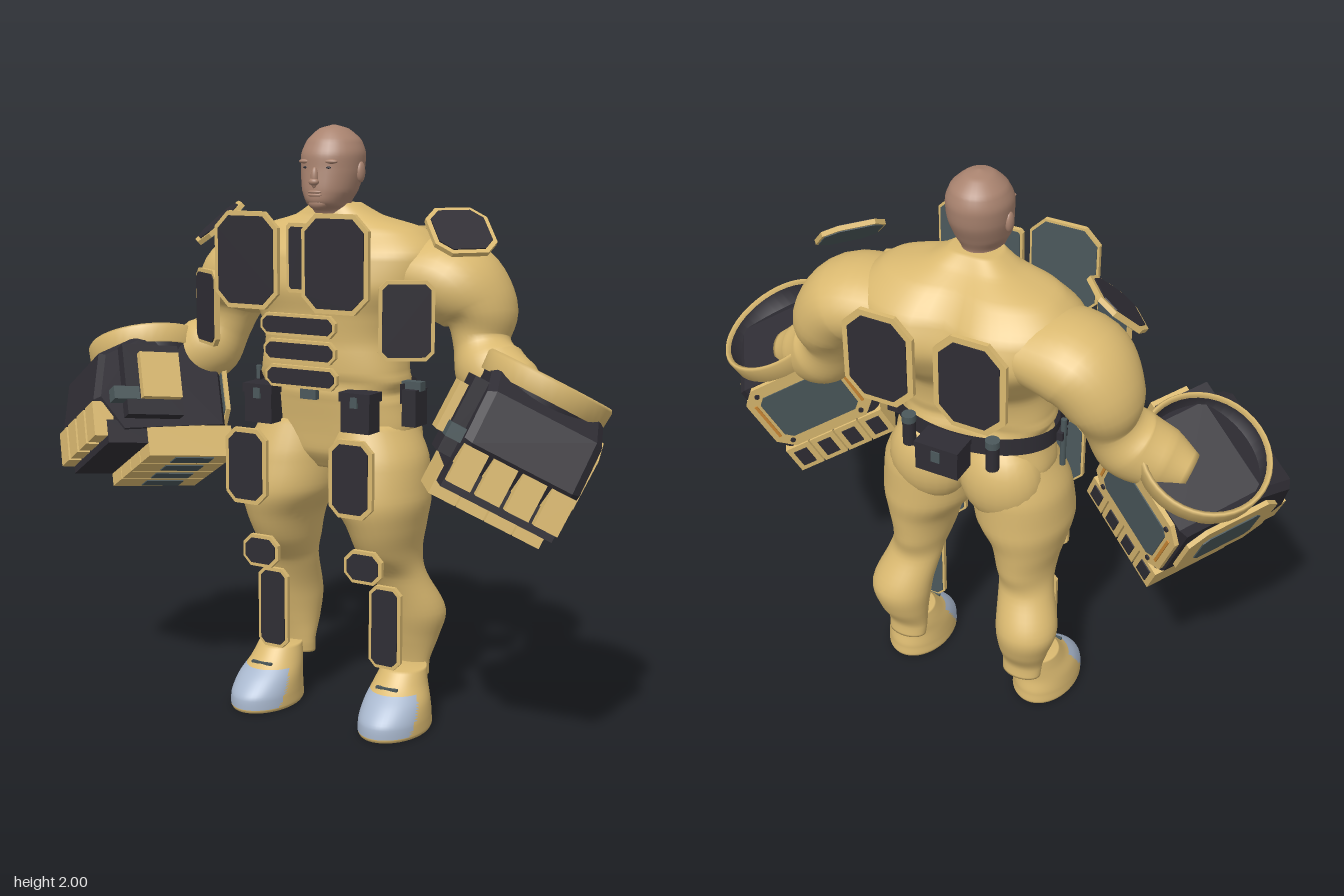
import * as THREE from 'three';

const mat = (name, color, side = THREE.FrontSide) => {
  const m = new THREE.MeshStandardMaterial({ color, side });
  m.name = name;
  return m;
};
const tan = mat('tan suit', 0xdab970);
const dark = mat('dark armour', 0x2f2d34, THREE.DoubleSide);
const slate = mat('slate', 0x4b585b);
const skin = mat('skin', 0xa9836f);
const steel = mat('toe blue', 0xa9b8ce);
const orange = mat('orange accent', 0xcf8a35);

function add(parent, name, geo, material, x = 0, y = 0, z = 0) {
  const m = new THREE.Mesh(geo, material);
  m.name = name;
  m.position.set(x, y, z);
  parent.add(m);
  return m;
}
const box = (w, h, d) => new THREE.BoxGeometry(w, h, d);
function ball(parent, name, material, x, y, z, rx, ry, rz) {
  add(parent, name, new THREE.SphereGeometry(1, 24, 16).scale(rx, ry, rz), material, x, y, z);
}

// Smooth skin through sections [x, y, z, radiusA, radiusB], listed from the top down.
function loft(secs, { along = false, groove = 0, power = 1, steps = 6, seg = 32 } = {}) {
  const centre = new THREE.CatmullRomCurve3(secs.map(s => new THREE.Vector3(s[0], s[1], s[2])));
  const radius = new THREE.CatmullRomCurve3(secs.map(s => new THREE.Vector3(s[3], s[4], 0)));
  const rows = (secs.length - 1) * steps, pos = [], idx = [];
  const A = new THREE.Vector3(1, 0, 0), B = new THREE.Vector3(0, 0, 1);
  const bulge = v => Math.sign(v) * Math.abs(v) ** power;
  for (let r = 0; r <= rows; r++) {
    const c = centre.getPoint(r / rows), k = radius.getPoint(r / rows);
    if (along) {
      const t = centre.getTangent(r / rows);
      B.set(0, 0, 1).addScaledVector(t, -t.z).normalize();
      A.crossVectors(B, t).normalize();
    }
    for (let j = 0; j < seg; j++) {
      const a = j / seg * Math.PI * 2, ca = bulge(Math.cos(a)) * k.x;
      let sb = bulge(Math.sin(a)) * k.y;
      if (sb < 0) sb *= 1 - groove * Math.exp(-((ca / 0.08) ** 2));
      const p = c.clone().addScaledVector(A, ca).addScaledVector(B, sb);
      pos.push(p.x, p.y, p.z);
    }
  }
  for (let r = 0; r < rows; r++) for (let j = 0; j < seg; j++) {
    const a = r * seg + j, b = r * seg + (j + 1) % seg;
    idx.push(a, b, a + seg, b, b + seg, a + seg);
  }
  const top = pos.length / 3, last = rows * seg;
  pos.push(...secs[0].slice(0, 3), ...secs[secs.length - 1].slice(0, 3));
  for (let j = 0; j < seg; j++) {
    const n = (j + 1) % seg;
    idx.push(top, n, j, top + 1, last + j, last + n);
  }
  const g = new THREE.BufferGeometry();
  g.setAttribute('position', new THREE.Float32BufferAttribute(pos, 3));
  g.setIndex(idx);
  g.computeVertexNormals();
  return g;
}

// Sort triangles into two material groups by a test on their centre.
function splitFaces(g, test) {
  const p = g.attributes.position, src = g.index.array, lists = [[], []];
  for (let i = 0; i < src.length; i += 3) {
    const t = [src[i], src[i + 1], src[i + 2]];
    const mid = f => (p[f](t[0]) + p[f](t[1]) + p[f](t[2])) / 3;
    lists[test(mid('getY'), mid('getZ')) ? 1 : 0].push(...t);
  }
  g.setIndex([...lists[0], ...lists[1]]);
  g.addGroup(0, lists[0].length, 0);
  g.addGroup(lists[0].length, lists[1].length, 1);
  return g;
}

// Chamfered plate, facing +z.
function plate(w, h, c, d) {
  const x = w / 2, y = h / 2;
  const pts = [[x - c, -y], [x, c - y], [x, y - c], [x - c, y], [c - x, y], [-x, y - c], [-x, c - y], [c - x, -y]];
  const shape = new THREE.Shape(pts.map(p => new THREE.Vector2(...p)));
  return new THREE.ExtrudeGeometry(shape, { depth: d, bevelEnabled: false }).translate(0, 0, -d / 2);
}
function panel(parent, name, w, h, c, x, y, z, inset = dark, border = 0.015) {
  const g = new THREE.Group();
  g.name = name;
  const ring = b => [w - 2 * b, h - 2 * b, Math.max(c - 0.59 * b, 0.008)];
  add(g, name + 'Frame', plate(w, h, c, 0.016), tan);
  add(g, name + 'Inset', plate(...ring(border), 0.008), inset, 0, 0, 0.008);
  add(g, name + 'Backing', plate(...ring(0.008), 0.008), slate, 0, 0, -0.007);
  g.position.set(x, y, z);
  parent.add(g);
  return g;
}

// Oversized fist: local x outward, y towards the cuff, z knuckle side.
function gauntlet() {
  const g = new THREE.Group();
  g.name = 'gauntlet';
  const prof = [[-0.17, -0.07], [0.11, -0.05], [0.235, -0.11], [0.265, -0.26], [0.19, -0.37], [-0.17, -0.35]];
  const hull = new THREE.ExtrudeGeometry(new THREE.Shape(prof.map(p => new THREE.Vector2(...p))),
    { depth: 0.33, bevelThickness: 0.025, bevelSize: 0.018, bevelSegments: 1 });
  add(g, 'fistHull', hull.translate(0, 0, -0.165).rotateY(-Math.PI / 2), dark);
  const lathe = pts => new THREE.LatheGeometry(pts.map(p => new THREE.Vector2(...p)), 40);
  add(g, 'cuff', lathe([[0.17, -0.2], [0.202, -0.03], [0.193, 0], [0.175, -0.13], [0, -0.15]]), dark);
  add(g, 'cuffRim', lathe([[0.19, -0.055], [0.208, -0.055], [0.212, 0.003], [0.206, 0.012], [0.194, 0.005], [0.19, -0.055]]), tan);
  add(g, 'knuckleBase', box(0.37, 0.08, 0.16), dark, 0, -0.38, 0.17);
  for (let i = 0; i < 4; i++) {
    const x = -0.144 + i * 0.096;
    add(g, 'knuckle', box(0.078, 0.12, 0.07), tan, x, -0.335, 0.26);
    add(g, 'finger', box(0.09, 0.11, 0.31), tan, x, -0.41, -0.045);
    add(g, 'fingerInset', box(0.058, 0.006, 0.14), slate, x, -0.466, -0.06);
    add(g, 'fingerEnd', box(0.05, 0.07, 0.006), dark, x, -0.41, -0.201);
  }
  panel(g, 'sidePanel', 0.34, 0.27, 0.055, 0.2, -0.225, 0.02, slate, 0.06).rotation.y = Math.PI / 2;
  const back = panel(g, 'backPanel', 0.38, 0.29, 0.05, 0, -0.2, -0.198, slate, 0.045);
  back.rotation.y = Math.PI;
  for (const s of [1, -1]) {
    add(back, 'accentStrip', box(0.01, 0.16, 0.006), orange, s * 0.163, 0, 0.009);
    for (const t of [1, -1]) add(back, 'bolt', new THREE.CylinderGeometry(0.009, 0.009, 0.008, 10).rotateX(Math.PI / 2), dark, s * 0.135, t * 0.115, 0.01);
  }
  // thumb
  add(g, 'thumbBase', box(0.06, 0.25, 0.2), dark, -0.205, -0.21, 0.09);
  add(g, 'thumb', box(0.035, 0.16, 0.14), tan, -0.245, -0.2, 0.07);
  add(g, 'thumbJoint', box(0.05, 0.045, 0.09), slate, -0.215, -0.26, 0.19);
  const n = new THREE.Vector3(0.34, 0.88, -0.32).normalize();
  const f = new THREE.Vector3(0.53, 0.1, 0.85);
  const u = new THREE.Vector3().crossVectors(n, f).normalize();
  f.crossVectors(u, n);
  g.applyMatrix4(new THREE.Matrix4().makeBasis(u, n, f).setPosition(0.775, 1.22, -0.03));
  return g;
}

// Everything that exists once per side, built for the model's left.
function sideParts() {
  const g = new THREE.Group();
  add(g, 'leg', loft([[0.14, 1.04, -0.06, 0.13, 0.15], [0.162, 0.92, -0.05, 0.165, 0.18], [0.175, 0.8, -0.04, 0.165, 0.19],
    [0.197, 0.7, -0.045, 0.125, 0.17], [0.2, 0.6, -0.065, 0.1, 0.14], [0.215, 0.51, -0.105, 0.095, 0.09],
    [0.245, 0.38, -0.16, 0.108, 0.1], [0.238, 0.28, -0.165, 0.09, 0.077], [0.23, 0.2, -0.155, 0.074, 0.048], [0.23, 0.15, -0.16, 0.07, 0.045]]), tan);
  const boot = loft([[0.25, 0.2, -0.08, 0.075, 0.078], [0.25, 0.15, -0.055, 0.09, 0.1], [0.255, 0.1, -0.022, 0.106, 0.13],
    [0.257, 0.05, -0.005, 0.112, 0.157], [0.257, 0.012, -0.005, 0.113, 0.16], [0.257, 0, -0.005, 0.108, 0.155]], { seg: 48 });
  add(g, 'boot', splitFaces(boot, (y, z) => z > 0.08 - 0.6 * y && y > 0.012 && y < 0.135), [tan, steel]);
  add(g, 'bootSeam', box(0.08, 0.008, 0.012), slate, 0.25, 0.15, 0.042);
  add(g, 'arm', loft([[0.22, 1.53, -0.12, 0.11, 0.17], [0.4, 1.5, -0.13, 0.138, 0.18], [0.48, 1.41, -0.14, 0.122, 0.145],
    [0.5, 1.31, -0.12, 0.09, 0.1], [0.55, 1.23, -0.09, 0.115, 0.115], [0.65, 1.18, -0.06, 0.1, 0.1], [0.74, 1.15, -0.05, 0.06, 0.06]], { along: true }), tan);
  ball(g, 'buttock', tan, 0.13, 0.97, -0.13, 0.145, 0.16, 0.115);
  g.add(gauntlet());

  // floating armour plates
  panel(g, 'chestPlate', 0.24, 0.31, 0.05, 0.165, 1.575, 0.235);
  panel(g, 'backPlate', 0.24, 0.32, 0.06, 0.155, 1.5, -0.388, dark, 0.02).rotation.y = Math.PI;
  panel(g, 'armPlate', 0.175, 0.25, 0.025, 0.375, 1.405, 0.16, dark, 0.012).rotation.y = 0.58;
  panel(g, 'shoulderPlate', 0.21, 0.2, 0.045, 0.46, 1.67, -0.035).lookAt(0.46 + 0.5, 1.67 + 0.75, -0.035 + 0.42);
  panel(g, 'thighPlate', 0.16, 0.255, 0.035, 0.2, 0.89, 0.195);
  panel(g, 'kneePlate', 0.14, 0.11, 0.03, 0.2, 0.58, 0.112, dark, 0.012);
  panel(g, 'shinPlate', 0.12, 0.285, 0.025, 0.222, 0.348, 0.003, dark, 0.012);

  // belt gear
  add(g, 'frontPouch', box(0.105, 0.11, 0.07), dark, 0.185, 1.085, 0.115);
  add(g, 'frontPouchFlap', box(0.115, 0.03, 0.08), dark, 0.185, 1.145, 0.115);
  add(g, 'pouchClasp', box(0.025, 0.035, 0.008), slate, 0.185, 1.13, 0.155);
  add(g, 'canister', new THREE.CylinderGeometry(0.022, 0.022, 0.1, 14), dark, 0.15, 1.13, -0.235);
  add(g, 'canisterCap', new THREE.CylinderGeometry(0.024, 0.024, 0.025, 14), slate, 0.15, 1.18, -0.235);
  // facial features
  ball(g, 'eye', dark, 0.04, 1.865, 0.076, 0.012, 0.004, 0.005);
  ball(g, 'brow', skin, 0.042, 1.884, 0.069, 0.03, 0.008, 0.013);
  ball(g, 'ear', skin, 0.1, 1.85, -0.03, 0.013, 0.034, 0.02);
  return g;
}

export function createModel() {
  const model = new THREE.Group();
  model.name = 'armouredFigure';

  add(model, 'torso', loft([[0, 1.75, -0.05, 0.08, 0.072], [0, 1.71, -0.065, 0.15, 0.1], [0, 1.67, -0.085, 0.29, 0.145],
    [0, 1.59, -0.095, 0.37, 0.215], [0, 1.5, -0.1, 0.36, 0.24], [0, 1.4, -0.085, 0.29, 0.21], [0, 1.3, -0.05, 0.25, 0.165],
    [0, 1.2, -0.04, 0.262, 0.155], [0, 1.12, -0.05, 0.262, 0.155], [0, 1.02, -0.06, 0.28, 0.15], [0, 0.94, -0.06, 0.22, 0.14],
    [0, 0.88, -0.06, 0.09, 0.1]], { groove: 0.22, power: 0.82, seg: 64 }), tan);

  add(model, 'head', loft([[0, 2, -0.03, 0.004, 0.004], [0, 1.988, -0.03, 0.045, 0.05], [0, 1.95, -0.032, 0.087, 0.094],
    [0, 1.9, -0.027, 0.103, 0.113], [0, 1.85, -0.022, 0.1, 0.112], [0, 1.79, -0.006, 0.087, 0.102],
    [0, 1.75, 0, 0.066, 0.09], [0, 1.728, -0.03, 0.066, 0.078], [0, 1.67, -0.05, 0.075, 0.075]]), skin);
  ball(model, 'nose', skin, 0, 1.832, 0.09, 0.013, 0.035, 0.014);
  ball(model, 'noseTip', skin, 0, 1.82, 0.096, 0.018, 0.012, 0.014);
  for (const y of [1.778, 1.788]) ball(model, 'lip', skin, 0, y, 0.09, 0.026, 0.006, 0.009);
  ball(model, 'chin', skin, 0, 1.752, 0.07, 0.034, 0.022, 0.023);

  for (const s of [1, -1]) {
    const side = sideParts();
    side.name = s > 0 ? 'leftSide' : 'rightSide';
    side.scale.x = s;
    model.add(side);
  }

  // centre plates
  panel(model, 'sternumPlate', 0.08, 0.22, 0.01, 0, 1.585, 0.19, dark, 0.012);
  [[1.37, 0.28, 0.19], [1.285, 0.27, 0.18], [1.2, 0.27, 0.17]].forEach(([y, w, z]) =>
    panel(model, 'abdomenPlate', w, 0.072, 0.022, 0, y, z, dark, 0.01));

  // belt
  const band = new THREE.CylinderGeometry(1, 1, 0.065, 40, 1, true, Math.PI * 0.4, Math.PI * 1.2);
  add(model, 'belt', band.scale(0.285, 1, 0.185), dark, 0, 1.145, -0.05);
  add(model, 'buckle', box(0.06, 0.045, 0.02), slate, 0, 1.145, 0.125);
  add(model, 'backPouch', box(0.15, 0.1, 0.09), dark, 0, 1.12, -0.285);
  add(model, 'backPouchFlap', box(0.155, 0.02, 0.095), dark, 0, 1.165, -0.285);
  add(model, 'backPouchClasp', box(0.03, 0.04, 0.008), slate, 0, 1.14, -0.333);
  add(model, 'holster', box(0.05, 0.12, 0.08), dark, 0.305, 1.1, -0.03);
  add(model, 'holsterGrip', box(0.07, 0.03, 0.035), slate, 0.3, 1.17, -0.03);
  add(model, 'baton', new THREE.CylinderGeometry(0.01, 0.01, 0.18, 10), slate, -0.3, 1.1, -0.03);
  add(model, 'batonClip', box(0.04, 0.03, 0.04), dark, -0.285, 1.13, -0.03);
  return model;
}
